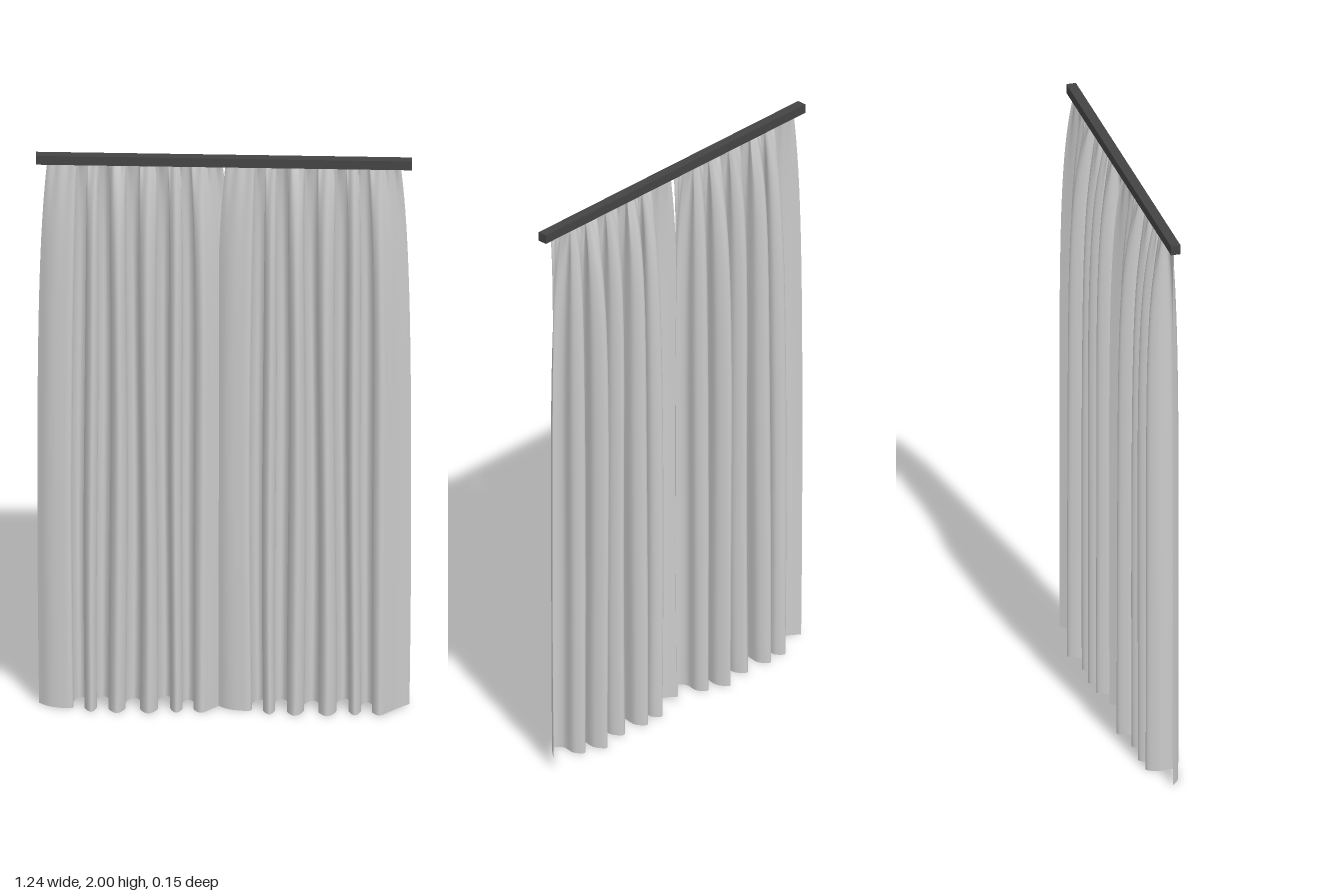
import * as THREE from 'three';

// Plan of one hanging panel: [x from panel centre, z], left to right
const FOLDS = [
  [-0.325, 0.0], [-0.29, 0.026], [-0.25, 0.037], [-0.21, 0.036], [-0.207, -0.02],
  [-0.185, -0.055], [-0.158, -0.03], [-0.166, 0.035], [-0.142, 0.066], [-0.124, 0.035],
  [-0.128, -0.03], [-0.104, -0.06], [-0.078, -0.03], [-0.082, 0.04], [-0.055, 0.073],
  [-0.03, 0.04], [-0.028, -0.02], [-0.003, -0.052], [0.021, -0.02], [0.018, 0.04],
  [0.044, 0.073], [0.072, 0.04], [0.072, -0.035], [0.097, -0.073], [0.124, -0.035],
  [0.116, 0.03], [0.138, 0.062], [0.158, 0.035], [0.158, -0.02], [0.178, -0.043],
  [0.203, -0.015], [0.2, 0.035], [0.226, 0.06], [0.255, 0.035], [0.285, 0.002],
  [0.325, -0.035],
];
const TOP = 1.972;
const HALF = 0.325;

// Cloth surface: the folds are gathered flat at the rail and open out below
function panelGeometry(cols = 220, rows = 56) {
  const curve = new THREE.CatmullRomCurve3(
    FOLDS.map(([x, z]) => new THREE.Vector3(x, 0, z)), false, 'centripetal');
  const plan = curve.getSpacedPoints(cols);
  const geo = new THREE.PlaneGeometry(1, 1, cols, rows);
  const pos = geo.attributes.position;
  for (let r = 0; r <= rows; r++) {
    const drop = TOP * Math.pow(r / rows, 1.7);
    const y = TOP - drop;
    const open = 1 - Math.exp(-drop / 0.21);
    const amp = 0.14 + 0.86 * open;
    // side edges: narrow at the rail, widest at mid height
    const edge = -0.035 * Math.exp(-drop / 0.33) - 0.008 * Math.pow(drop / TOP, 4);
    for (let c = 0; c <= cols; c++) {
      const p = plan[c];
      const u = p.x / HALF;
      const sway = 0.004 * Math.sin(y * 2.6 + p.x * 17) * open * (1 - u * u);
      // small gathers that fade out below the heading
      const gather = 0.004 * Math.sin(c * 0.9) * Math.exp(-drop / 0.12);
      pos.setXYZ(r * (cols + 1) + c,
        p.x + edge * u * Math.abs(u) + sway,
        y,
        0.009 * (1 - open) + p.z * amp + gather);
    }
  }
  geo.computeVertexNormals();
  return geo;
}

export function createModel() {
  const model = new THREE.Group();
  model.name = 'curtains';

  // Curtain rail
  const rail = new THREE.Mesh(
    new THREE.BoxGeometry(1.244, 0.032, 0.033),
    new THREE.MeshStandardMaterial({ color: 0x444444 }));
  rail.name = 'rail';
  rail.position.set(0, 1.984, 0.007);
  model.add(rail);

  // Two matching panels that overlap slightly in the middle
  const cloth = new THREE.MeshStandardMaterial({ color: 0xcccccc, side: THREE.DoubleSide });
  const geo = panelGeometry();
  for (const [name, x] of [['rightCurtain', -0.295], ['leftCurtain', 0.295]]) {
    const panel = new THREE.Mesh(geo, cloth);
    panel.name = name;
    panel.position.x = x;
    model.add(panel);
  }
  return model;
}
